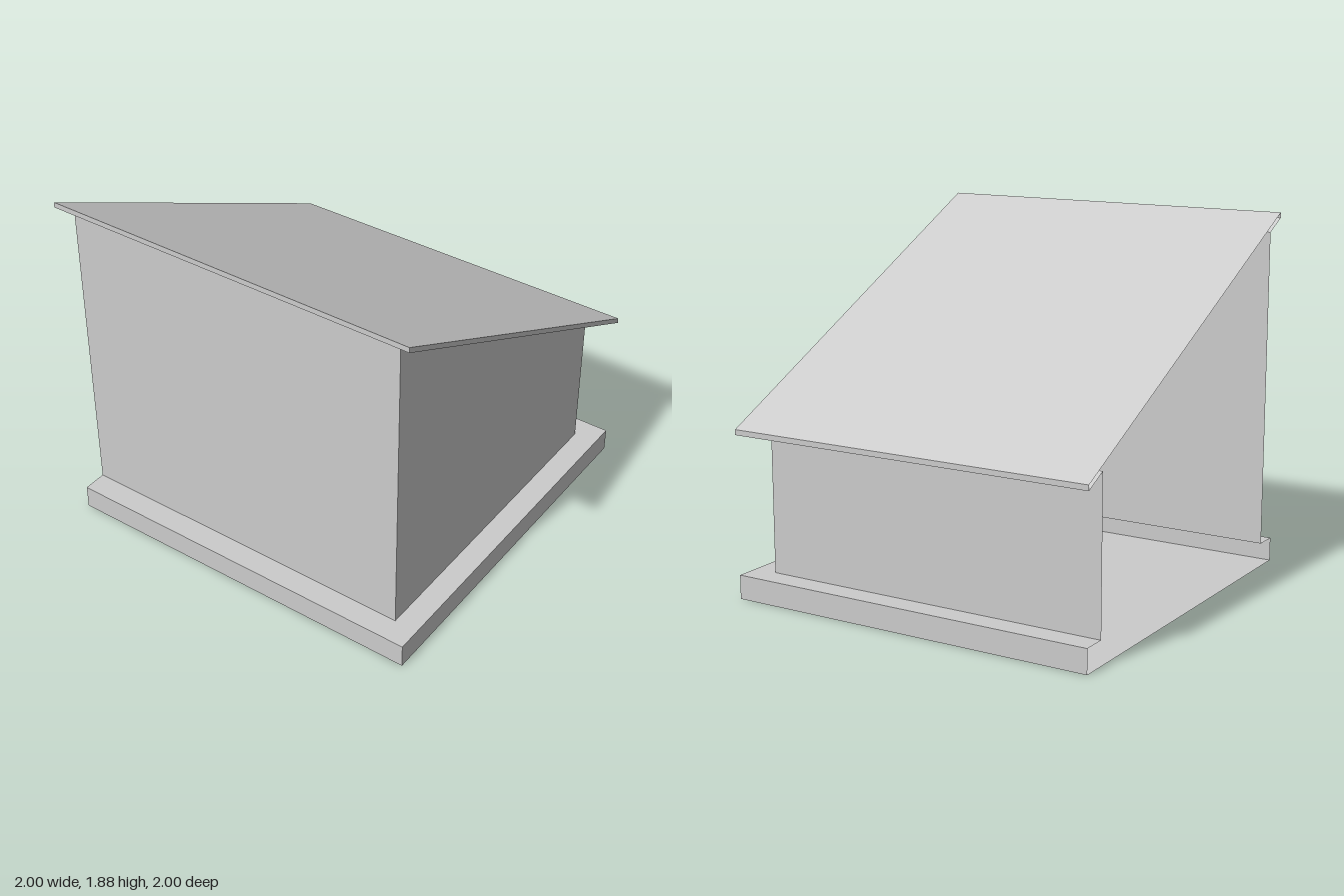
import * as THREE from 'three';

// Heights of the sloping roof planes at depth z
const roofUnder = z => 1.347 + 0.5 * z;
const roofTop = z => 1.375 + 0.5 * z;
const level = y => () => y;

// U-shaped loop (open on the -x side) at half-size s, with height given by depth
const loop = (s, height) =>
  [[-1, s], [s, s], [s, -s], [-1, -s]].map(([x, z]) => [x, height(z), z]);

const quad = (a, b, c, d) => [a, b, c, a, c, d].flat();

// Three faces joining each loop to the next
function skin(...loops) {
  const out = [];
  for (let k = 0; k < loops.length - 1; k++) {
    const a = loops[k], b = loops[k + 1];
    for (let i = 0; i < 3; i++) out.push(...quad(a[i], a[i + 1], b[i + 1], b[i]));
  }
  return out;
}

export function createModel() {
  const group = new THREE.Group();
  group.name = 'shelter';
  const material = new THREE.MeshStandardMaterial({
    color: 0xcccccc, flatShading: true, side: THREE.DoubleSide,
  });
  const add = (name, positions) => {
    const geometry = new THREE.BufferGeometry();
    geometry.setAttribute('position', new THREE.Float32BufferAttribute(positions, 3));
    geometry.computeVertexNormals();
    const mesh = new THREE.Mesh(geometry, material);
    mesh.name = name;
    group.add(mesh);
  };

  const wall = 0.875, baseHeight = 0.125;
  const ground = loop(1, level(0));
  const baseEdge = loop(1, level(baseHeight));
  const wallFoot = loop(wall, level(baseHeight));
  const wallHead = loop(wall, roofUnder);
  const eaves = loop(1, roofUnder);
  const roofEdge = loop(1, roofTop);

  // Base: underside, rim and ledge around the walls
  add('base', [...quad(...[...ground].reverse()), ...skin(ground, baseEdge, wallFoot)]);
  // Front, side and back walls up to the slope
  add('walls', skin(wallFoot, wallHead));
  // Roof: overhang soffit, edges and sloping top
  add('roof', [...skin(wallHead, eaves, roofEdge), ...quad(...roofEdge)]);

  return group;
}
